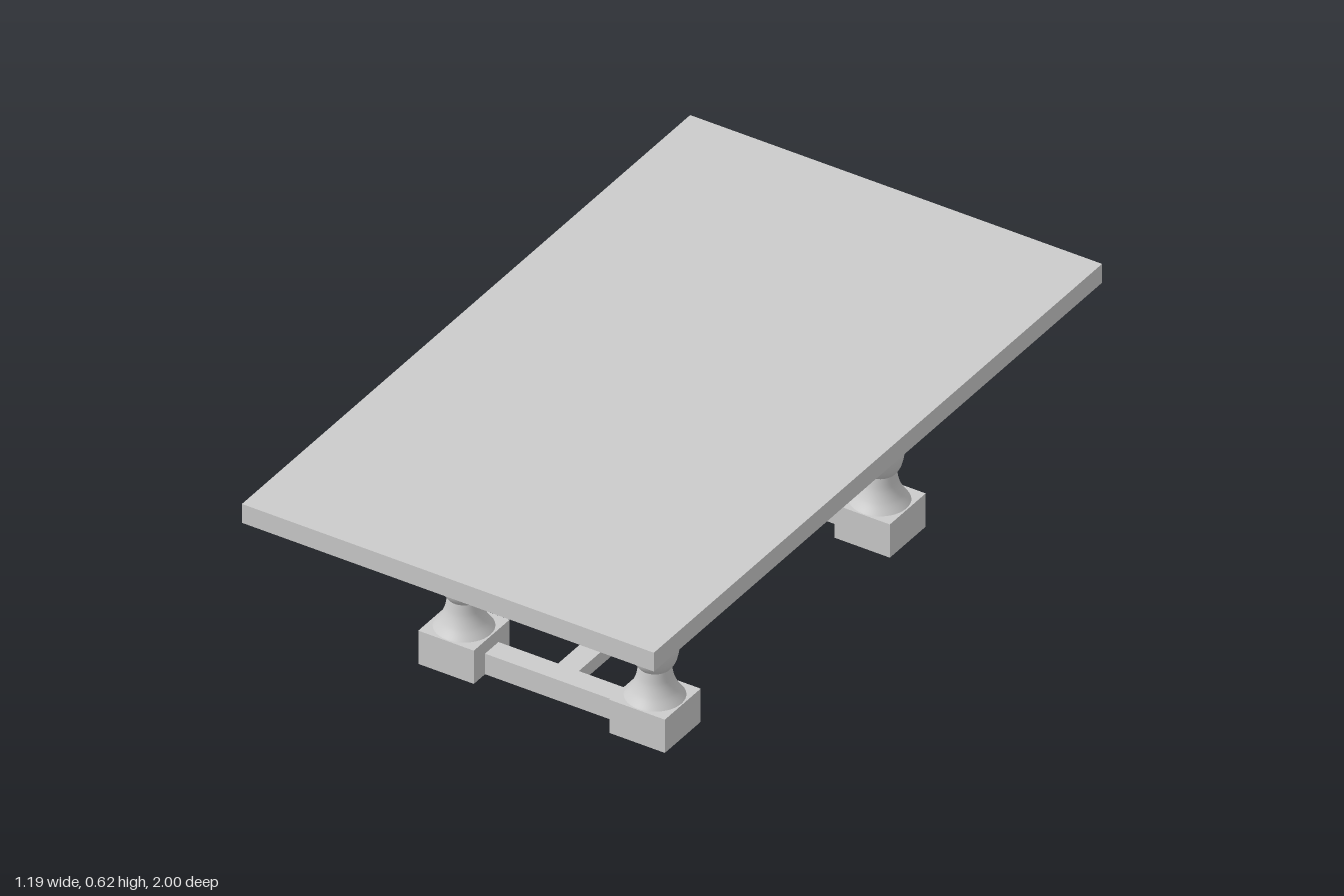
import * as THREE from 'three';

const material = new THREE.MeshStandardMaterial({ color: 0xcccccc });
const turnedMaterial = new THREE.MeshStandardMaterial({ color: 0xcccccc, side: THREE.DoubleSide });

// Box given by its size, centre in x and z, and bottom and top heights
function box(name, width, depth, bottom, top, x = 0, z = 0) {
  const mesh = new THREE.Mesh(new THREE.BoxGeometry(width, top - bottom, depth), material);
  mesh.position.set(x, (bottom + top) / 2, z);
  mesh.name = name;
  return mesh;
}

// Turned surface through a few [radius, height] points
function turned(name, profile) {
  const curve = new THREE.SplineCurve(profile.map(([r, y]) => new THREE.Vector2(r, y)));
  const mesh = new THREE.Mesh(new THREE.LatheGeometry(curve.getPoints(28), 40), turnedMaterial);
  mesh.name = name;
  return mesh;
}

const LEG_X = 0.275, LEG_Z = 0.502, BLOCK = 0.16;
const FOOT_TOP = 0.097, HEAD_BOTTOM = 0.478, TOP_BOTTOM = 0.562;

function createLeg(x, z) {
  const leg = new THREE.Group();
  leg.name = 'leg';
  leg.add(
    box('footBlock', BLOCK, BLOCK, 0, FOOT_TOP),
    box('headBlock', BLOCK, BLOCK, HEAD_BOTTOM, TOP_BOTTOM),
    // Flared base, then the vase-shaped baluster with a sharp joint between
    turned('balusterBase', [[0.076, FOOT_TOP], [0.059, 0.122], [0.047, 0.15], [0.041, 0.182]]),
    turned('balusterVase', [
      [0.041, 0.182], [0.053, 0.202], [0.06, 0.24], [0.055, 0.28], [0.043, 0.32],
      [0.031, 0.36], [0.028, 0.4], [0.034, 0.44], [0.05, HEAD_BOTTOM],
    ]),
  );
  leg.position.set(x, 0, z);
  return leg;
}

export function createModel() {
  const table = new THREE.Group();
  table.name = 'table';
  table.add(box('tabletop', 1.186, 2, TOP_BOTTOM, 0.617));

  const spanX = 2 * LEG_X - BLOCK, spanZ = 2 * LEG_Z - BLOCK;
  for (const side of [-1, 1]) {
    for (const end of [-1, 1]) table.add(createLeg(side * LEG_X, end * LEG_Z));
    // Aprons under the top and the stretcher across each end
    table.add(
      box('sideApron', 0.04, spanZ, 0.503, TOP_BOTTOM, side * LEG_X, 0),
      box('endApron', spanX, 0.04, 0.503, TOP_BOTTOM, 0, side * LEG_Z),
      box('endStretcher', spanX, 0.06, 0, 0.06, 0, side * LEG_Z),
    );
  }
  // Long stretcher joining the two end stretchers
  table.add(box('centreStretcher', 0.06, 2 * LEG_Z - 0.06, 0.013, 0.052));
  return table;
}
